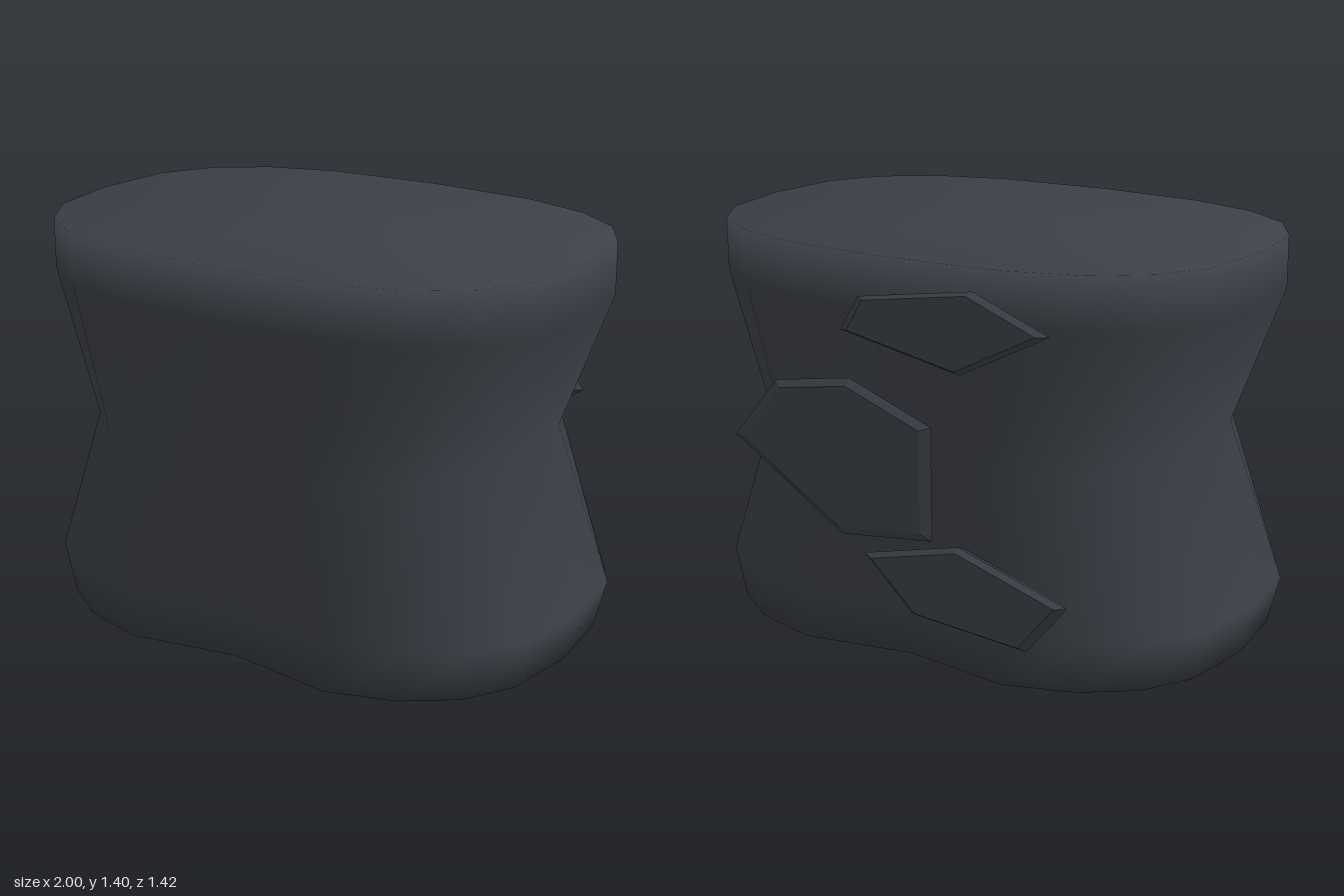
import * as THREE from 'three';
import { ConvexGeometry } from 'three/addons/geometries/ConvexGeometry.js';

const SIDES = 20;
const POWER = 2.7; // squareness of the oval cross-section

// Rings of the waisted body: height, half width, half depth, groove depth at the centre line
const RINGS = [
  [0, 0.95, 0.685, 0.09],
  [0.18, 1.0, 0.69, 0.05],
  [0.72, 0.78, 0.69, 0],
  [1.22, 0.98, 0.692, 0],
  [1.4, 0.98, 0.695, 0],
];

// Smooth closed body: oval rings joined by quads, with caps sharing the rim vertices
function bodyGeometry() {
  const pos = [], index = [];
  const curve = (v) => Math.sign(v) * Math.pow(Math.abs(v), 2 / POWER);
  for (const [y, rx, rz, groove] of RINGS) {
    for (let i = 0; i < SIDES; i++) {
      const a = (i / SIDES) * Math.PI * 2;
      const x = rx * curve(Math.cos(a));
      let z = rz * curve(Math.sin(a));
      if (Math.abs(x) < 0.05) z -= Math.sign(z) * groove;
      pos.push(x, y, z + 0.015);
    }
  }
  const bottom = pos.length / 3, top = bottom + 1;
  pos.push(0, 0, 0.015, 0, 1.4, 0.015);
  const last = (RINGS.length - 1) * SIDES;
  for (let i = 0; i < SIDES; i++) {
    const j = (i + 1) % SIDES;
    for (let r = 0; r < last; r += SIDES) {
      index.push(r + i, r + SIDES + i, r + j, r + j, r + SIDES + i, r + SIDES + j);
    }
    index.push(bottom, i, j, top, last + j, last + i);
  }
  const g = new THREE.BufferGeometry();
  g.setAttribute('position', new THREE.Float32BufferAttribute(pos, 3));
  g.setIndex(index);
  g.computeVertexNormals();
  return g;
}

// Flat shard with a sharp rim and slightly smaller faces
function shardGeometry(outline) {
  const cx = outline.reduce((s, p) => s + p[0], 0) / outline.length;
  const cy = outline.reduce((s, p) => s + p[1], 0) / outline.length;
  const pts = [];
  for (const [x, y] of outline) {
    pts.push(new THREE.Vector3(x, y, -0.69));
    for (const z of [-0.71, -0.655]) {
      pts.push(new THREE.Vector3(cx + (x - cx) * 0.9, cy + (y - cy) * 0.9, z));
    }
  }
  return new ConvexGeometry(pts);
}

export function createModel() {
  const model = new THREE.Group();
  const slate = new THREE.MeshStandardMaterial({ color: 0x3c4047 });
  slate.name = 'dark slate';

  const body = new THREE.Mesh(bodyGeometry(), slate);
  body.name = 'waistedBody';
  model.add(body);

  // Three angular shards on the back
  const shards = {
    upperShard: [[0.19, 1.14], [0.12, 1.26], [-0.32, 1.33], [-0.6, 1.22], [-0.27, 1.05]],
    middleShard: [[0.64, 0.71], [0.46, 0.93], [0.16, 0.98], [-0.16, 0.86], [-0.16, 0.47], [0.2, 0.43]],
    lowerShard: [[0.11, 0.38], [-0.26, 0.47], [-0.67, 0.34], [-0.52, 0.16], [-0.08, 0.2]],
  };
  for (const [name, outline] of Object.entries(shards)) {
    const shard = new THREE.Mesh(shardGeometry(outline), slate);
    shard.name = name;
    model.add(shard);
  }
  return model;
}
